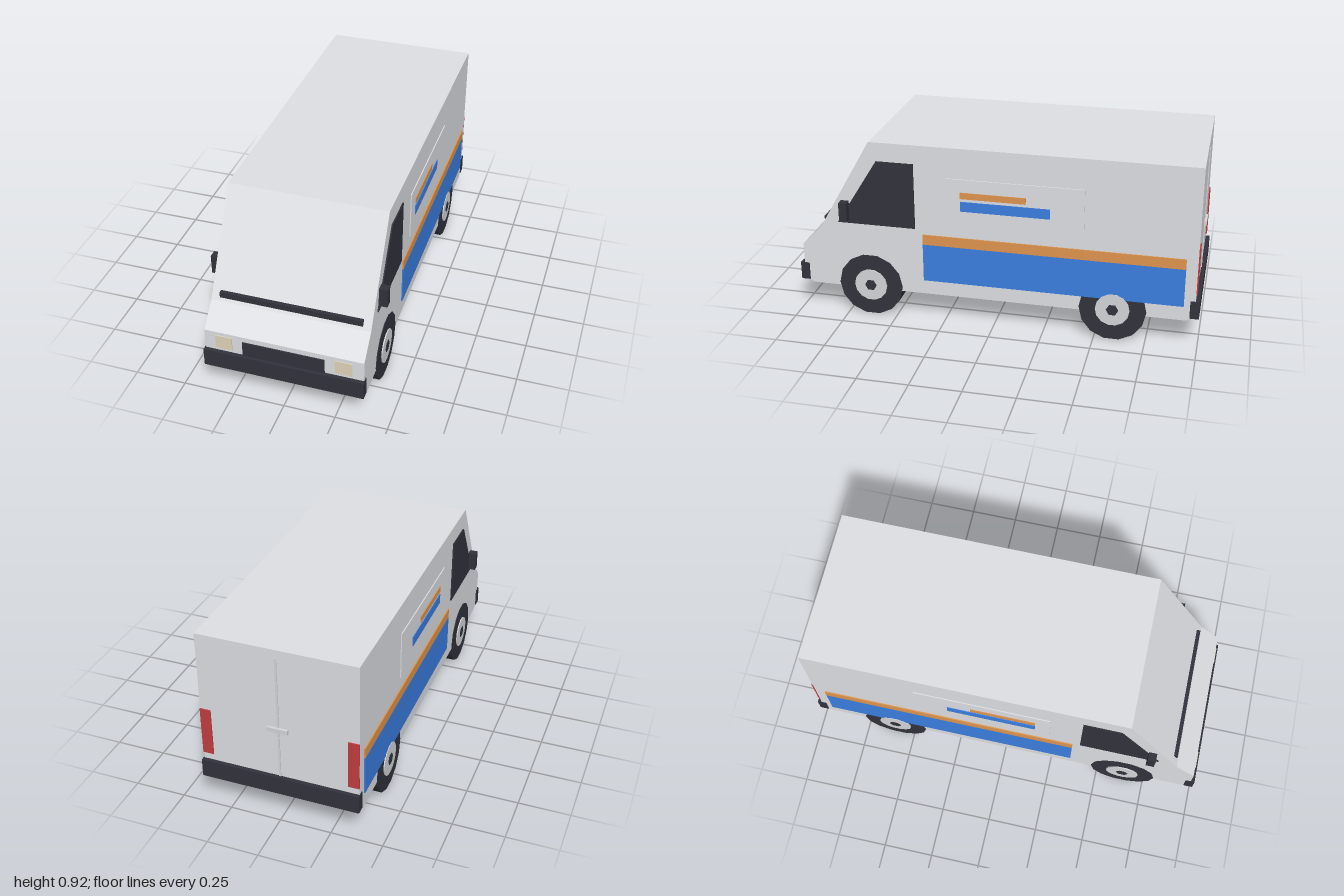
import * as THREE from 'three';

const mat = (name, color) => {
  const m = new THREE.MeshStandardMaterial({ color });
  m.name = name;
  return m;
};

export function createModel() {
  const van = new THREE.Group();
  van.name = 'van';

  const paint = mat('light grey paint', 0xdfe1e5);
  const dark = mat('charcoal', 0x32333d);
  const blue = mat('blue stripe', 0x3b7fe2);
  const orange = mat('orange stripe', 0xe0964e);
  const lamp = mat('cream lamp', 0xe2d6bb);
  const red = mat('red lamp', 0xc43e40);
  const metal = mat('metal grey', 0xd6d7da);

  const add = (name, geometry, material) => {
    const mesh = new THREE.Mesh(geometry, material);
    mesh.name = name;
    van.add(mesh);
    return mesh;
  };

  // Box given by its extents on each axis
  const box = (name, material, [x0, x1], [y0, y1], [z0, z1]) =>
    add(name, new THREE.BoxGeometry(Math.abs(x1 - x0), y1 - y0, z1 - z0), material)
      .position.set((x0 + x1) / 2, (y0 + y1) / 2, (z0 + z1) / 2);

  // Side outline of [z, y] points, extruded across x from x0 to x1
  const slab = (name, material, points, x0, x1) => {
    const shape = new THREE.Shape(points.map(([z, y]) => new THREE.Vector2(z, y)));
    const g = new THREE.ExtrudeGeometry(shape, { depth: x1 - x0, bevelEnabled: false });
    g.rotateY(-Math.PI / 2);
    g.translate(x1, 0, 0);
    return add(name, g, material);
  };

  // Cylinder lying along x, between x0 and x1
  const disc = (name, material, radius, sides, x0, x1, y, z) => {
    const g = new THREE.CylinderGeometry(radius, radius, Math.abs(x1 - x0), sides);
    g.rotateZ(Math.PI / 2);
    add(name, g, material).position.set((x0 + x1) / 2, y, z);
  };

  // Body shell
  const W = 0.382;
  slab('body', paint, [
    [-0.98, 0.165], [-0.94, 0.14], [0.935, 0.14], [0.98, 0.165],
    [0.98, 0.35], [0.88, 0.45], [0.61, 0.92], [-0.98, 0.92],
  ], -W, W);

  // Nose
  box('frontBumper', dark, [-0.386, 0.386], [0.155, 0.246], [0.955, 1]);
  box('grille', dark, [-0.197, 0.197], [0.24, 0.323], [0.978, 0.986]);
  box('windscreenStrip', dark, [-0.342, 0.342], [0.466, 0.495], [0.85, 0.873]);

  // Tail
  box('rearBumper', dark, [-0.386, 0.386], [0.155, 0.246], [-1, -0.955]);
  box('rearDoorSeam', metal, [-0.005, 0.005], [0.24, 0.88], [-0.984, -0.978]);
  box('rearDoorHandle', metal, [-0.048, 0.048], [0.493, 0.515], [-0.993, -0.978]);

  for (const s of [-1, 1]) {
    const side = s > 0 ? 'left' : 'right';
    const across = (a, b) => [s * a, s * b];

    // Lamps
    box(side + 'Headlight', lamp, across(0.248, 0.328), [0.262, 0.333], [0.978, 0.985]);
    box(side + 'TailLight', red, across(0.33, 0.382), [0.282, 0.525], [-0.986, -0.978]);

    // Cab window and mirror
    const xs = across(0.38, 0.388).sort((a, b) => a - b);
    slab(side + 'Window', dark,
      [[0.785, 0.49], [0.39, 0.49], [0.39, 0.825], [0.575, 0.825]], xs[0], xs[1]);
    box(side + 'Mirror', dark, across(0.38, 0.423), [0.51, 0.606], [0.725, 0.765]);

    // Side stripes, and a raised panel with two short bars
    box(side + 'LowerStripe', blue, across(0.38, 0.388), [0.215, 0.41], [-0.925, 0.353]);
    box(side + 'UpperStripe', orange, across(0.38, 0.388), [0.41, 0.462], [-0.925, 0.353]);
    box(side + 'SidePanel', paint, across(0.38, 0.387), [0.525, 0.767], [-0.44, 0.235]);
    box(side + 'PanelBlueBar', blue, across(0.384, 0.391), [0.605, 0.655], [-0.277, 0.16]);
    box(side + 'PanelOrangeBar', orange, across(0.384, 0.391), [0.67, 0.702], [-0.16, 0.16]);

    // Wheels
    for (const [end, z] of [['Front', 0.63], ['Rear', -0.587]]) {
      disc(side + end + 'Tyre', dark, 0.164, 14, s * 0.297, s * 0.3855, 0.16, z);
      disc(side + end + 'WheelCap', metal, 0.084, 14, s * 0.37, s * 0.391, 0.16, z);
      disc(side + end + 'WheelHub', dark, 0.03, 6, s * 0.38, s * 0.394, 0.16, z);
    }
  }
  return van;
}
